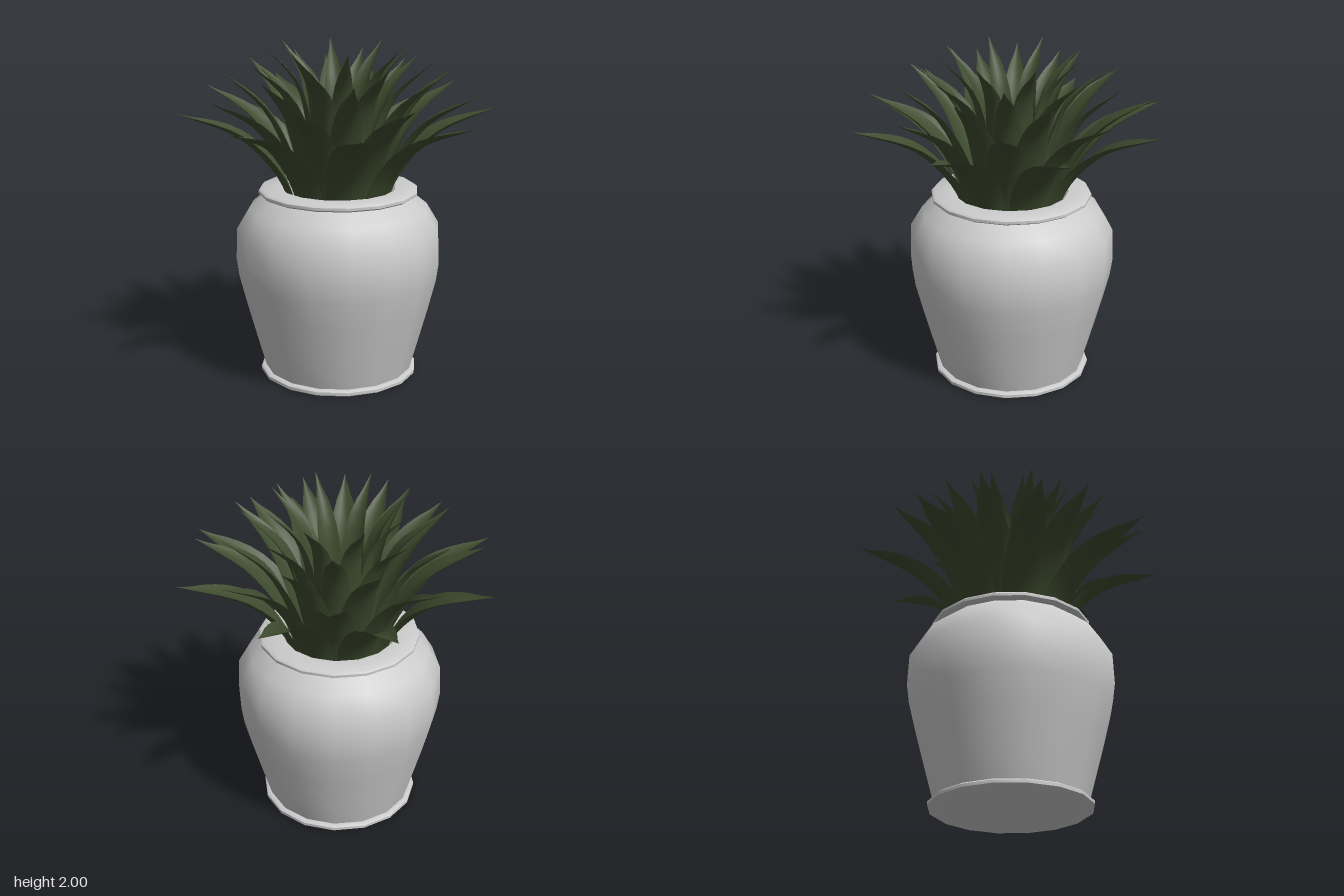
import * as THREE from 'three';
import { toCreasedNormals } from 'three/addons/utils/BufferGeometryUtils.js';

const v2 = (p) => new THREE.Vector2(p[0], p[1]);

// A pointed, channelled blade that follows a profile curve in the x-y plane.
function leafGeometry(profile, halfWidth) {
  const curve = new THREE.CatmullRomCurve3(profile.map(([r, y]) => new THREE.Vector3(r, y, 0)));
  const widths = new THREE.SplineCurve([[0, 0.8], [0.2, 0.97], [0.4, 1], [0.6, 0.84], [0.8, 0.52], [1, 0]].map(v2));
  const rows = 12, cols = 6;
  const pos = [], index = [];
  for (let i = 0; i <= rows; i++) {
    const t = i / rows;
    const p = curve.getPointAt(t);
    const d = curve.getTangentAt(t);
    const w = halfWidth * Math.max(widths.getPoint(t).y, 0.01);
    for (let j = 0; j <= cols; j++) {
      const s = (j / cols) * 2 - 1;
      const lift = 0.36 * w * (s * s - 0.3); // edges curl up and inwards
      pos.push(p.x - d.y * lift, p.y + d.x * lift, s * w);
      if (i < rows && j < cols) {
        const a = i * (cols + 1) + j, b = a + cols + 1;
        index.push(a, a + 1, b, b, a + 1, b + 1);
      }
    }
  }
  const geo = new THREE.BufferGeometry();
  geo.setAttribute('position', new THREE.Float32BufferAttribute(pos, 3));
  geo.setIndex(index);
  geo.computeVertexNormals();
  return geo;
}

export function createModel() {
  const model = new THREE.Group();
  model.name = 'pottedPlant';
  const grey = new THREE.MeshStandardMaterial({ color: 0xcccccc });
  const green = new THREE.MeshStandardMaterial({ color: 0x3f4c2f, side: THREE.DoubleSide });

  // Pot: foot band, bulging body, rim and inner wall in one profile
  const potProfile = [
    [0, 0], [0.465, 0], [0.48, 0.01], [0.48, 0.028], [0.465, 0.038], [0.45, 0.038],
    [0.495, 0.2], [0.56, 0.44], [0.605, 0.62], [0.62, 0.73], [0.612, 0.92], [0.54, 1.04], [0.44, 1.12],
    [0.465, 1.122], [0.48, 1.132], [0.48, 1.148], [0.465, 1.16], [0.345, 1.16], [0.33, 1.145], [0.33, 1.03],
  ].map(v2);
  const pot = new THREE.Mesh(toCreasedNormals(new THREE.LatheGeometry(potProfile, 16), 0.7), grey);
  pot.name = 'pot';
  model.add(pot);

  // Soil and the short core the leaves grow from
  const soil = new THREE.Mesh(new THREE.CylinderGeometry(0.33, 0.33, 0.03, 16), grey);
  soil.name = 'soil';
  soil.position.y = 1.03;
  const core = new THREE.Mesh(new THREE.CylinderGeometry(0.135, 0.135, 0.1, 16), grey);
  core.name = 'core';
  core.position.y = 1.06;
  model.add(soil, core);

  // Five rings of eight leaves, outermost first, alternate rings turned half a step
  const rings = [
    { profile: [[0.27, 1.03], [0.36, 1.24], [0.58, 1.475], [0.945, 1.62]], width: 0.118 },
    { profile: [[0.24, 1.03], [0.33, 1.28], [0.53, 1.56], [0.83, 1.74]], width: 0.11 },
    { profile: [[0.21, 1.03], [0.285, 1.32], [0.44, 1.64], [0.68, 1.86]], width: 0.1 },
    { profile: [[0.175, 1.03], [0.225, 1.4], [0.34, 1.71], [0.56, 1.92]], width: 0.09 },
    { profile: [[0.145, 1.03], [0.175, 1.48], [0.25, 1.79], [0.43, 2.0]], width: 0.08 },
  ];
  rings.forEach(({ profile, width }, k) => {
    const ring = new THREE.Group();
    ring.name = `leafRing${k + 1}`;
    const geo = leafGeometry(profile, width);
    for (let i = 0; i < 8; i++) {
      const leaf = new THREE.Mesh(geo, green);
      leaf.name = 'leaf';
      leaf.rotation.y = ((i + (k % 2) / 2) * Math.PI) / 4;
      ring.add(leaf);
    }
    model.add(ring);
  });
  return model;
}
